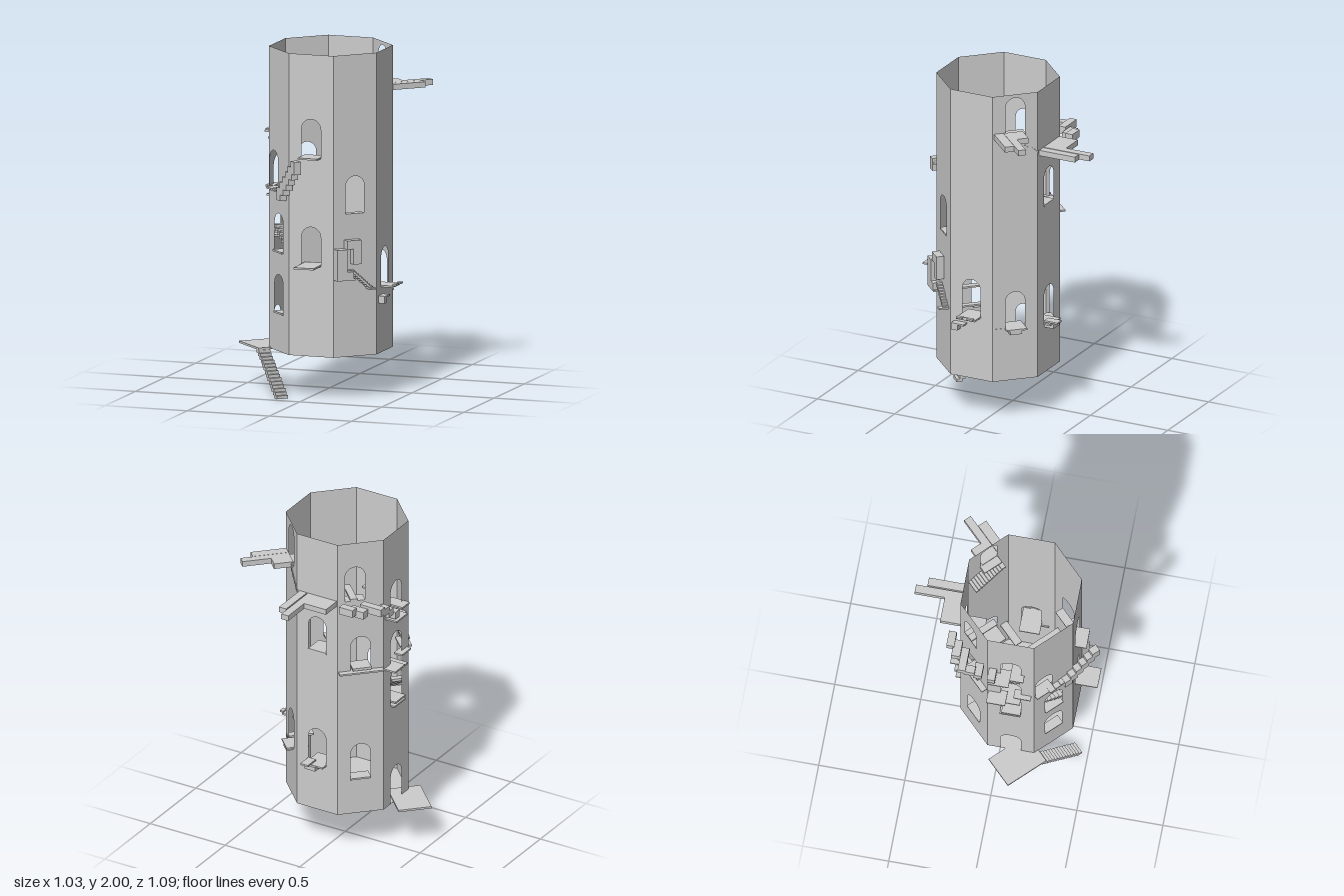
import * as THREE from 'three';

const CX = 0.035, CZ = 0.077;   // tower axis
const APO = 0.327, BASE = 0.25, TOP = 2;
const HALF = APO * Math.tan(Math.PI / 8);

export function createModel() {
  const model = new THREE.Group();
  const stone = new THREE.MeshStandardMaterial({ color: 0xcccccc, side: THREE.DoubleSide });
  stone.name = 'grey stone';

  const tower = new THREE.Group();
  tower.name = 'tower';
  tower.position.set(CX, 0, CZ);
  model.add(tower);

  // Each face: windows as [base height, sideways offset, sill inner depth, sill outer depth]
  const faces = {
    front: { angle: 0, windows: [[1.4, 0, 0.26, 0.39], [0.775, 0, 0.25, 0.455]] },
    frontRight: { angle: 45, windows: [[1.07, 0, 0.28, 0.33]] },
    right: { angle: 90, windows: [[0.63, 0, 0.25, 0.4]] },
    backRight: { angle: 135, windows: [[1.755, 0, 0.28, 0.34], [0.565, 0, 0.24, 0.37]] },
    back: { angle: 180, windows: [[1.27, 0, 0.21, 0.33], [0.545, 0, 0.22, 0.37]] },
    backLeft: { angle: 225, windows: [[1.62, -0.033, 0.26, 0.33], [1.165, 0, 0.25, 0.35], [0.47, 0, 0.26, 0.335]] },
    left: { angle: 270, windows: [[1.45, 0, 0.2, 0.36], [1.12, 0, 0.25, 0.37], [0.885, 0, 0.22, 0.355], [0.252, 0, 0, 0]] },
    frontLeft: { angle: 315, windows: [[1.18, -0.068, 0.28, 0.35], [0.825, 0, 0.26, 0.34], [0.47, 0, 0.28, 0.335]] },
  };

  // Box in a face's own frame: t along the wall, y up, n outward from the axis
  function slab(face, name, t0, t1, y0, y1, n0, n1) {
    const mesh = new THREE.Mesh(new THREE.BoxGeometry(t1 - t0, y1 - y0, n1 - n0), stone);
    mesh.name = name;
    mesh.position.set((t0 + t1) / 2, (y0 + y1) / 2, (n0 + n1) / 2);
    faces[face].group.add(mesh);
  }

  // Straight flight of equal steps between two points along a wall
  function stairs(face, name, count, t0, t1, top0, top1, thick, n0, n1, overlap = 0.01) {
    const run = (t1 - t0) / count;
    for (let i = 0; i < count; i++) {
      const y = top0 + (top1 - top0) * i / (count - 1);
      slab(face, name, t0 + run * i - overlap / 2, t0 + run * (i + 1) + overlap / 2, y - thick, y, n0, n1);
    }
  }

  function archHole(base, offset) {
    const r = 0.0585, h = 0.225;
    const p = new THREE.Path();
    p.moveTo(offset - r, base);
    p.lineTo(offset + r, base);
    p.lineTo(offset + r, base + h - r);
    p.absarc(offset, base + h - r, r, 0, Math.PI, false);
    p.closePath();
    return p;
  }

  // Walls with arched openings and sills
  for (const [key, face] of Object.entries(faces)) {
    face.group = new THREE.Group();
    face.group.name = key + 'Side';
    face.group.rotation.y = THREE.MathUtils.degToRad(face.angle);
    tower.add(face.group);
    const shape = new THREE.Shape();
    shape.moveTo(-HALF, BASE);
    shape.lineTo(HALF, BASE);
    shape.lineTo(HALF, TOP);
    shape.lineTo(-HALF, TOP);
    shape.closePath();
    for (const [base, offset, inner, outer] of face.windows) {
      shape.holes.push(archHole(base, offset));
      if (outer) slab(key, 'windowSill', offset - 0.06, offset + 0.06, base - 0.002, base + 0.008, inner, outer);
    }
    const wall = new THREE.Mesh(new THREE.ShapeGeometry(shape, 10), stone);
    wall.name = 'wall';
    wall.position.z = APO;
    face.group.add(wall);
  }

  // Floor
  const floor = new THREE.Mesh(new THREE.CircleGeometry(APO / Math.cos(Math.PI / 8), 8, Math.PI / 8), stone);
  floor.name = 'floor';
  floor.rotation.x = Math.PI / 2;
  floor.position.y = BASE;
  tower.add(floor);

  // Entrance landing and the flight down to the ground
  slab('frontLeft', 'entranceLanding', -0.371, -0.105, 0.246, 0.258, 0.212, 0.406);
  stairs('frontLeft', 'entranceStep', 14, -0.125, 0.135, 0.246, 0.018, 0.018, 0.335, 0.406, 0.014);

  // Flight climbing round to the high front window
  stairs('frontLeft', 'upperStep', 6, 0.06, 0.287, 1.215, 1.395, 0.075, 0.325, 0.367, 0.012);
  stairs('frontLeft', 'lowTread', 3, -0.04, 0.07, 1.19, 1.21, 0.01, 0.31, 0.36);

  // Inner flight behind the front left wall
  stairs('frontLeft', 'innerStep', 8, -0.11, 0.1, 0.97, 0.84, 0.016, 0.235, 0.31);

  // Blocks and steps on the front right wall
  slab('frontRight', 'wallBlock', -0.135, -0.07, 0.7, 0.88, 0.33, 0.38);
  slab('frontRight', 'wallBlock', -0.07, 0.02, 0.88, 0.93, 0.33, 0.375);
  slab('frontRight', 'wallBlock', -0.03, 0.02, 0.79, 0.88, 0.33, 0.375);
  slab('frontRight', 'wallBlock', -0.07, -0.03, 0.7, 0.75, 0.33, 0.38);
  stairs('frontRight', 'wallStep', 9, -0.035, 0.09, 0.755, 0.655, 0.014, 0.327, 0.36);
  slab('frontRight', 'thinBeam', 0.07, 0.107, 0.637, 0.647, 0.112, 0.385);
  slab('frontRight', 'thinBeam', -0.06, -0.02, 0.7, 0.71, 0.07, 0.38);

  // Balcony on the right
  slab('right', 'balconyEnd', -0.035, 0.03, 0.638, 0.648, 0.4, 0.405);
  for (const s of [-1, 1]) slab('right', 'balconyTab', s * 0.035 - 0.018, s * 0.035 + 0.018, 0.638, 0.648, 0.395, 0.418);
  slab('right', 'balconyBlock', -0.11, -0.07, 0.543, 0.585, 0.33, 0.368);
  slab('right', 'balconyBlock', -0.1, -0.03, 0.575, 0.585, 0.32, 0.37);

  // High platform with two beams on the back right
  slab('backRight', 'platform', -0.024, 0.045, 1.737, 1.77, 0.327, 0.44);
  slab('backRight', 'longBeam', -0.069, -0.024, 1.737, 1.77, 0.327, 0.61);
  slab('backRight', 'shortBeam', -0.126, -0.071, 1.737, 1.77, 0.327, 0.537);
  stairs('backRight', 'innerStep', 11, -0.06, 0.135, 1.745, 1.64, 0.012, 0.25, 0.33);
  slab('backRight', 'innerBeam', -0.126, -0.08, 0.56, 0.572, 0.175, 0.33);
  slab('backRight', 'lowBlock', -0.04, 0.03, 0.54, 0.565, 0.32, 0.365);

  // Platform with two beams on the back
  slab('back', 'platform', -0.015, 0.13, 1.602, 1.635, 0.327, 0.447);
  slab('back', 'longBeam', -0.062, -0.015, 1.602, 1.635, 0.327, 0.622);
  slab('back', 'shortBeam', -0.117, -0.069, 1.602, 1.635, 0.327, 0.557);
  slab('back', 'lowBlock', -0.05, 0.02, 0.525, 0.55, 0.327, 0.385);
  slab('back', 'lowBoard', -0.06, -0.01, 0.56, 0.57, 0.327, 0.415);

  // Zigzag walkway outside the back left corner: [x, z, width, depth, height]
  const zigzag = [
    [-0.19, -0.285, 0.09, 0.045, 1.615], [-0.235, -0.245, 0.1, 0.05, 1.6],
    [-0.3, -0.195, 0.14, 0.045, 1.615], [-0.347, -0.15, 0.045, 0.06, 1.6],
    [-0.33, -0.103, 0.08, 0.05, 1.57],
  ];
  for (const [x, z, w, d, y] of zigzag) {
    const block = new THREE.Mesh(new THREE.BoxGeometry(w, 0.045, d), stone);
    block.name = 'zigzagBlock';
    block.position.set(x, y, z);
    model.add(block);
  }

  // Thin ledges joining the back left and left windows
  slab('backLeft', 'ledge', -0.13, 0.13, 1.165, 1.175, 0.3, 0.362);
  slab('backLeft', 'ledgeStep', -0.05, 0.06, 1.18, 1.195, 0.25, 0.345);
  slab('backLeft', 'innerBeam', -0.06, -0.02, 1.628, 1.64, 0.15, 0.33);
  slab('left', 'ledge', -0.13, -0.02, 1.15, 1.16, 0.31, 0.4);
  slab('left', 'ledge', 0.02, 0.12, 1.18, 1.19, 0.3, 0.355);

  // Stepped boards at the upper left window
  slab('left', 'upperBoard', -0.12, 0, 1.475, 1.485, 0.3, 0.405);
  slab('left', 'upperBoard', -0.125, -0.08, 1.5, 1.545, 0.327, 0.4);
  slab('left', 'upperBoard', 0, 0.08, 1.5, 1.51, 0.25, 0.37);
  slab('left', 'lowerBoard', -0.05, 0.06, 0.905, 0.915, 0.2, 0.355);
  return model;
}
